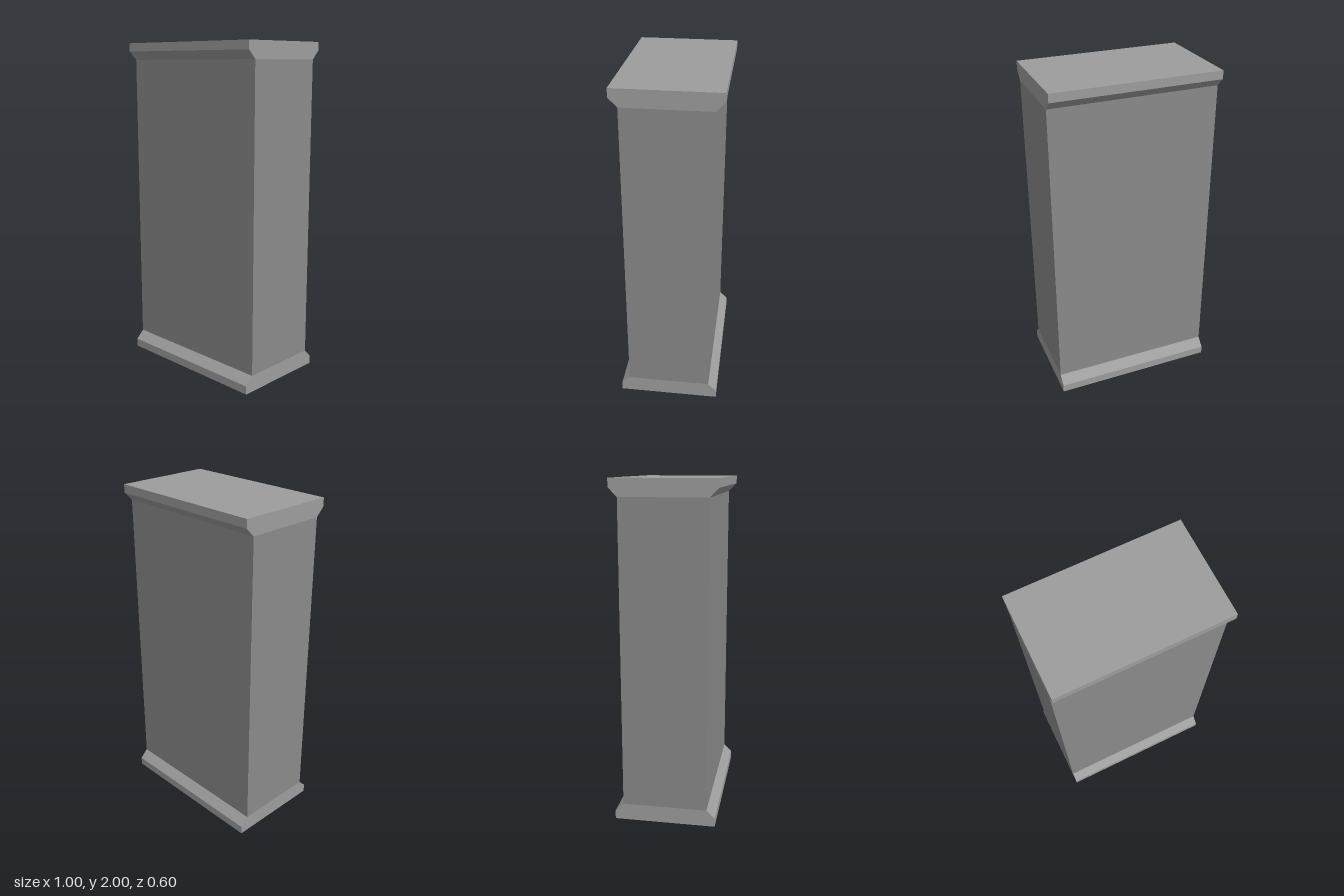
import * as THREE from 'three';

const WIDTH = 1, HEIGHT = 2;
const WALL_HALF = 0.25, TRIM_HALF = 0.3;
const TRIM_HEIGHT = 0.1, LIP_HEIGHT = 0.05;

export function createModel() {
  const group = new THREE.Group();
  const wallMaterial = new THREE.MeshStandardMaterial({ color: 0x8a8a8a, flatShading: true });
  const trimMaterial = new THREE.MeshStandardMaterial({ color: 0x9d9d9d, flatShading: true });

  const add = (name, geometry, material, y) => {
    const mesh = new THREE.Mesh(geometry, material);
    mesh.name = name;
    mesh.position.y = y;
    group.add(mesh);
    return mesh;
  };

  // Plain, darker wall slab between the two trims
  const wall = new THREE.BoxGeometry(WIDTH, HEIGHT - 2 * TRIM_HEIGHT, 2 * WALL_HALF);
  add('wall', wall, wallMaterial, HEIGHT / 2);

  // Chamfered trim: cross-section extruded along the width of the wall
  const profile = new THREE.Shape([
    [-TRIM_HALF, 0], [TRIM_HALF, 0], [TRIM_HALF, LIP_HEIGHT],
    [WALL_HALF, TRIM_HEIGHT], [-WALL_HALF, TRIM_HEIGHT], [-TRIM_HALF, LIP_HEIGHT],
  ].map(([z, y]) => new THREE.Vector2(z, y)));
  const trim = new THREE.ExtrudeGeometry(profile, { depth: WIDTH, bevelEnabled: false });
  trim.translate(0, 0, -WIDTH / 2).rotateY(Math.PI / 2);

  add('baseTrim', trim, trimMaterial, 0);
  // Same trim turned upside down at the top
  add('topTrim', trim, trimMaterial, HEIGHT).rotation.x = Math.PI;

  return group;
}
